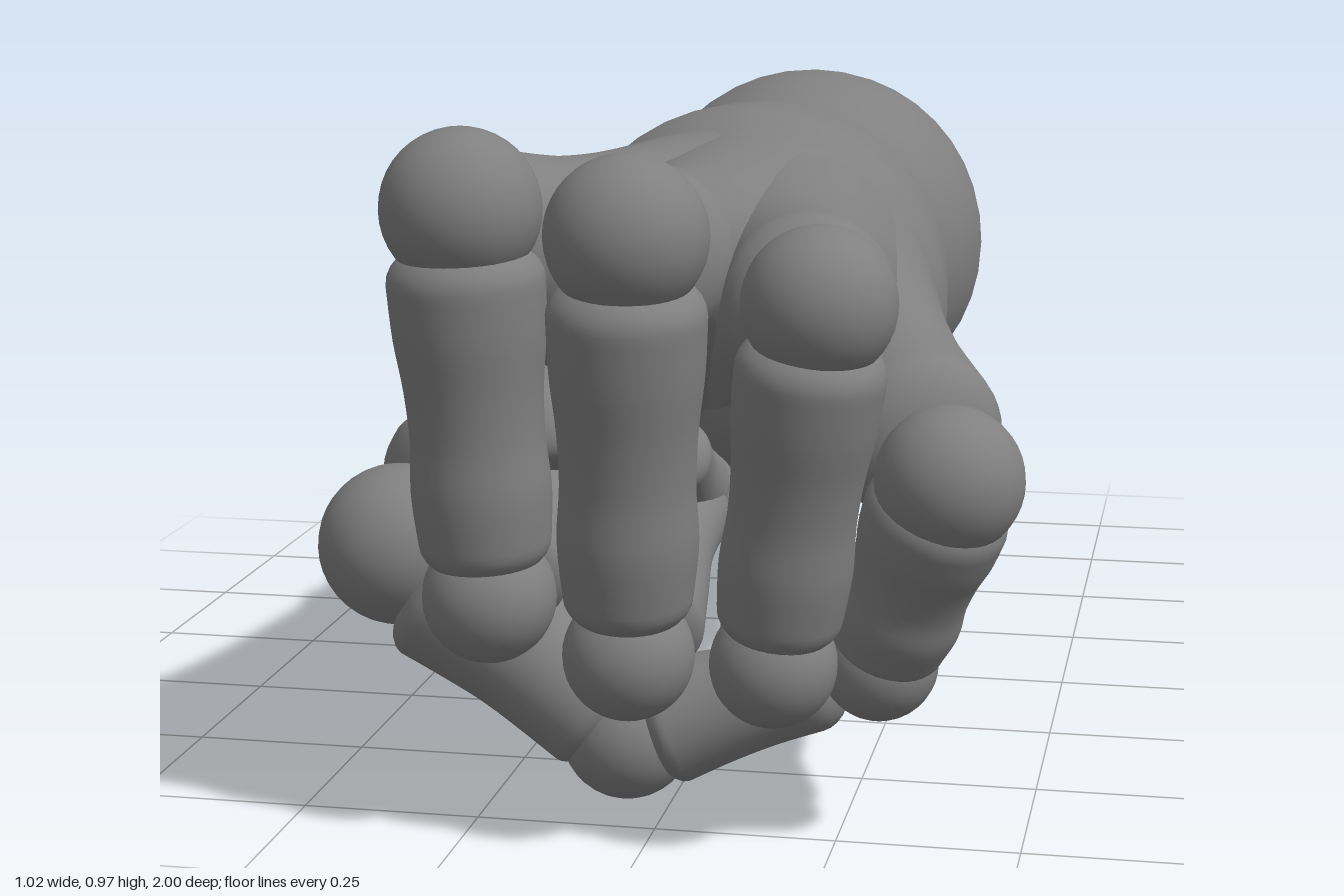
import * as THREE from 'three';

const material = new THREE.MeshStandardMaterial({ color: 0x808080 });
const vec = (p) => new THREE.Vector3(...p);

// Lathed bone from a to b: radii are spread evenly along it, ends are rounded caps
function bone(name, a, b, radii, capA = 0.4, capB = capA) {
  const start = vec(a), axis = vec(b).sub(start), length = axis.length();
  const n = radii.length - 1;
  const outline = new THREE.SplineCurve(radii.map((r, i) => new THREE.Vector2(r, (length * i) / n)));
  const points = [];
  for (let i = 0; i < 8; i++) {
    const t = (i / 8) * Math.PI / 2;
    points.push(new THREE.Vector2(radii[0] * Math.sin(t), -radii[0] * capA * Math.cos(t)));
  }
  points.push(...outline.getPoints(20));
  for (let i = 1; i <= 8; i++) {
    const t = (i / 8) * Math.PI / 2;
    points.push(new THREE.Vector2(Math.max(0, radii[n] * Math.cos(t)), length + radii[n] * capB * Math.sin(t)));
  }
  const mesh = new THREE.Mesh(new THREE.LatheGeometry(points, 40), material);
  mesh.name = name;
  mesh.position.copy(start);
  mesh.quaternion.setFromUnitVectors(new THREE.Vector3(0, 1, 0), axis.normalize());
  return mesh;
}

function ball(name, p, r) {
  const mesh = new THREE.Mesh(new THREE.SphereGeometry(r, 32, 20), material);
  mesh.name = name;
  mesh.position.set(...p);
  return mesh;
}

// Point at fraction t between a and b
const between = (a, b, t) => vec(a).lerp(vec(b), t).toArray();

// Joints of each curled finger, from knuckle to tip; r = knuckle, middle and end joint radii
const fingers = [
  { name: 'index', root: [-0.03, 0.62, 0.06], head: [-0.225, 0.81, 0.75], headR: 0.12,
    joints: [[-0.23, 0.863, 0.84], [-0.21, 0.338, 0.81], [-0.19, 0.44, 0.47], [-0.19, 0.53, 0.61]], r: [0.106, 0.09, 0.068] },
  { name: 'middle', root: [0, 0.62, 0.06], head: [0, 0.8, 0.78], headR: 0.118,
    joints: [[0, 0.84, 0.89], [-0.018, 0.27, 0.82], [-0.01, 0.4, 0.45], [-0.005, 0.49, 0.6]], r: [0.106, 0.088, 0.068] },
  { name: 'ring', root: [0.02, 0.61, 0.06], head: [0.215, 0.745, 0.77], headR: 0.115,
    joints: [[0.245, 0.76, 0.88], [0.175, 0.265, 0.81], [0.165, 0.375, 0.44], [0.165, 0.465, 0.59]], r: [0.1, 0.085, 0.065] },
  { name: 'little', root: [0.03, 0.6, 0.06], head: [0.355, 0.565, 0.74], headR: 0.113,
    joints: [[0.407, 0.53, 0.837], [0.305, 0.253, 0.735], [0.325, 0.345, 0.43], [0.355, 0.42, 0.56]], r: [0.097, 0.08, 0.06] },
];

function makeFinger({ name, root, head, headR, joints: [k, m, e, tip], r }) {
  const group = new THREE.Group();
  group.name = name + 'Finger';
  group.add(
    bone('metacarpal', root, head, [0.275, 0.225, 0.176, 0.138, headR], 0.3, 0.6),
    ball('knuckle', k, r[0]),
    bone('proximalPhalanx', between(k, m, 0.18), between(k, m, 0.85),
      [r[0] * 0.98, r[0] * 0.95, r[0] * 0.87, r[0] * 0.84, r[0] * 0.88, r[1] * 0.98], 0.6),
    ball('middleJoint', m, r[1]),
    bone('middlePhalanx', between(m, e, 0.2), between(m, e, 0.88), [r[1] * 0.98, r[1] * 0.84, r[2] * 0.92, r[2]], 0.5),
    ball('endJoint', e, r[2]),
    bone('fingertip', between(e, tip, 0.25), tip, [r[2] * 0.92, r[2] * 0.8, r[2] * 0.82], 0.4, 0.6),
  );
  return group;
}

function makeThumb() {
  const thumb = new THREE.Group();
  thumb.name = 'thumb';
  const base = [-0.398, 0.348, 0.61], mid = [-0.065, 0.095, 0.625], tip = [0.19, 0.18, 0.61];
  thumb.add(
    bone('thumbMetacarpal', [-0.08, 0.53, 0.1], [-0.312, 0.375, 0.49], [0.25, 0.21, 0.187, 0.178, 0.168], 0.4, 0.65),
    ball('thumbKnuckle', base, 0.114),
    bone('thumbProximalPhalanx', between(base, mid, 0.24), between(base, mid, 0.87), [0.117, 0.106, 0.097, 0.094, 0.093], 0.45),
    ball('thumbJoint', mid, 0.094),
    bone('thumbTip', between(mid, tip, 0.25), tip, [0.09, 0.08, 0.074, 0.073], 0.45, 0.75),
  );
  return thumb;
}

export function createModel() {
  const hand = new THREE.Group();
  hand.name = 'fist';
  // Forearm and wrist
  hand.add(bone('forearm', [-0.025, 0.59, -0.83], [-0.022, 0.59, -0.11],
    [0.3, 0.312, 0.3, 0.285, 0.288, 0.306, 0.305], 0.57, 0.4));
  hand.add(bone('wrist', [-0.004, 0.603, -0.05], [0, 0.608, 0.12], [0.295, 0.311, 0.306, 0.28], 0.3, 0.8));
  // Fingers and thumb
  fingers.forEach((f) => hand.add(makeFinger(f)));
  hand.add(makeThumb());
  return hand;
}
